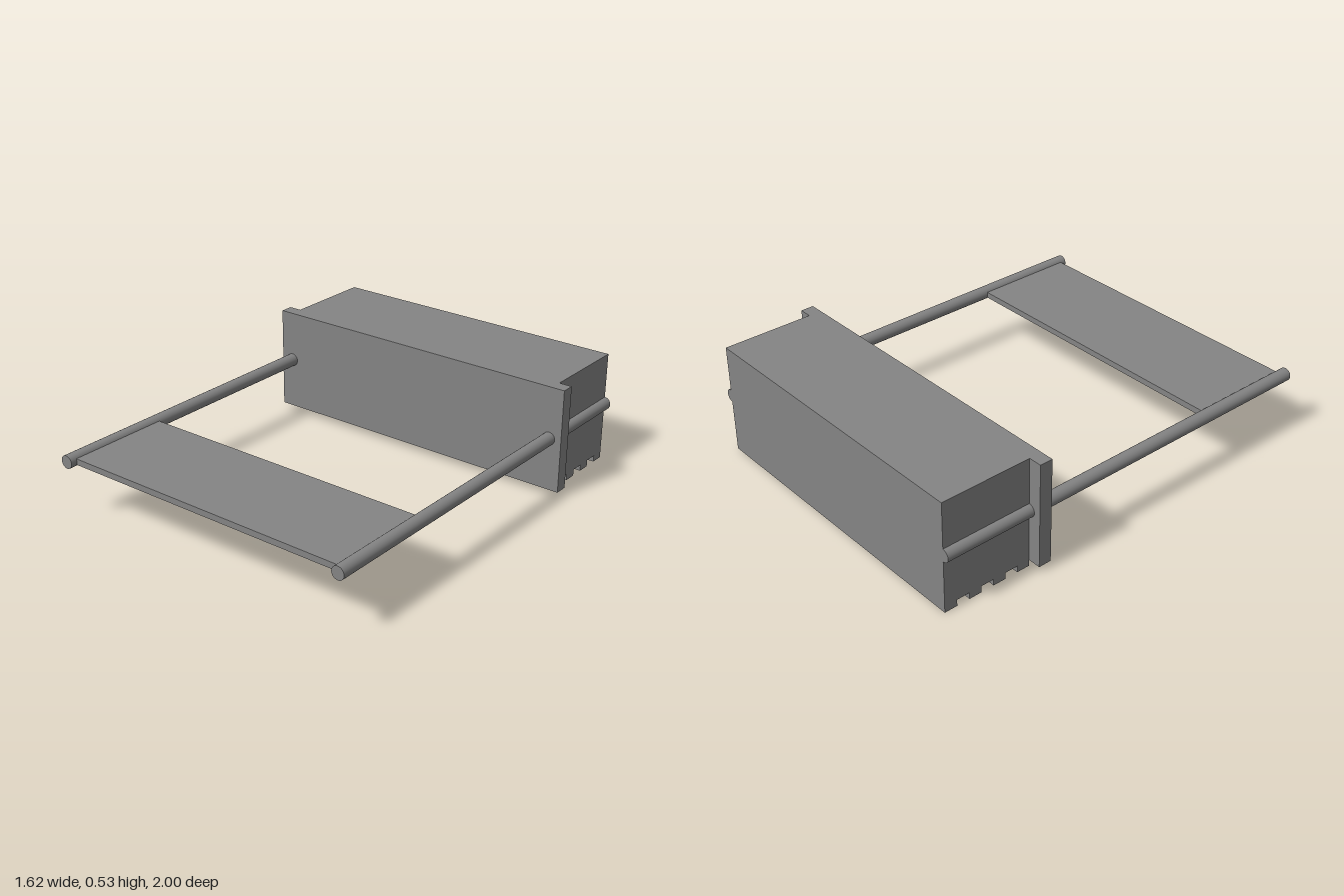
import * as THREE from 'three';

const material = new THREE.MeshStandardMaterial({ color: 0x848484 });

export function createModel() {
  const model = new THREE.Group();
  const add = (name, geometry, x = 0, y = 0, z = 0) => {
    const mesh = new THREE.Mesh(geometry, material);
    mesh.name = name;
    mesh.position.set(x, y, z);
    model.add(mesh);
  };
  // Box given by its width and its y and z ranges
  const addBox = (name, width, y0, y1, z0, z1) =>
    add(name, new THREE.BoxGeometry(width, y1 - y0, z1 - z0), 0, (y0 + y1) / 2, (z0 + z1) / 2);

  const top = 0.531, unit = 0.0625, back = -1, front = -0.5625;

  // Block body between its notched ends
  addBox('blockBody', 1.5 - 2 * unit, 0, top, back, front);

  // Block ends: side profile with three notches along the bottom edge
  const profile = new THREE.Shape();
  profile.moveTo(front, top);
  profile.lineTo(back, top);
  profile.lineTo(back, 0);
  for (let i = 0; i < 3; i++) {
    const z = back + unit * (1 + 2 * i);
    profile.lineTo(z, 0);
    profile.lineTo(z, 0.031);
    profile.lineTo(z + unit, 0.031);
    profile.lineTo(z + unit, 0);
  }
  profile.lineTo(front, 0);
  profile.closePath();
  const endGeometry = new THREE.ExtrudeGeometry(profile, { depth: unit, bevelEnabled: false });
  endGeometry.rotateY(-Math.PI / 2);
  add('leftBlockEnd', endGeometry, 0.75);
  add('rightBlockEnd', endGeometry, -0.75 + unit);

  // Wider front panel, raised off the ground
  addBox('frontPanel', 1.625, 0.031, top, front, -0.5);

  // Full-length side rods
  const rodGeometry = new THREE.CylinderGeometry(0.031, 0.031, 2, 32).rotateX(Math.PI / 2);
  for (const side of [1, -1]) {
    add(side > 0 ? 'leftRod' : 'rightRod', rodGeometry, side * 0.75, 0.283, 0);
  }

  // Thin plate joining the rods
  addBox('plate', 1.46, 0.267, 0.296, 0.469, 0.969);

  return model;
}
